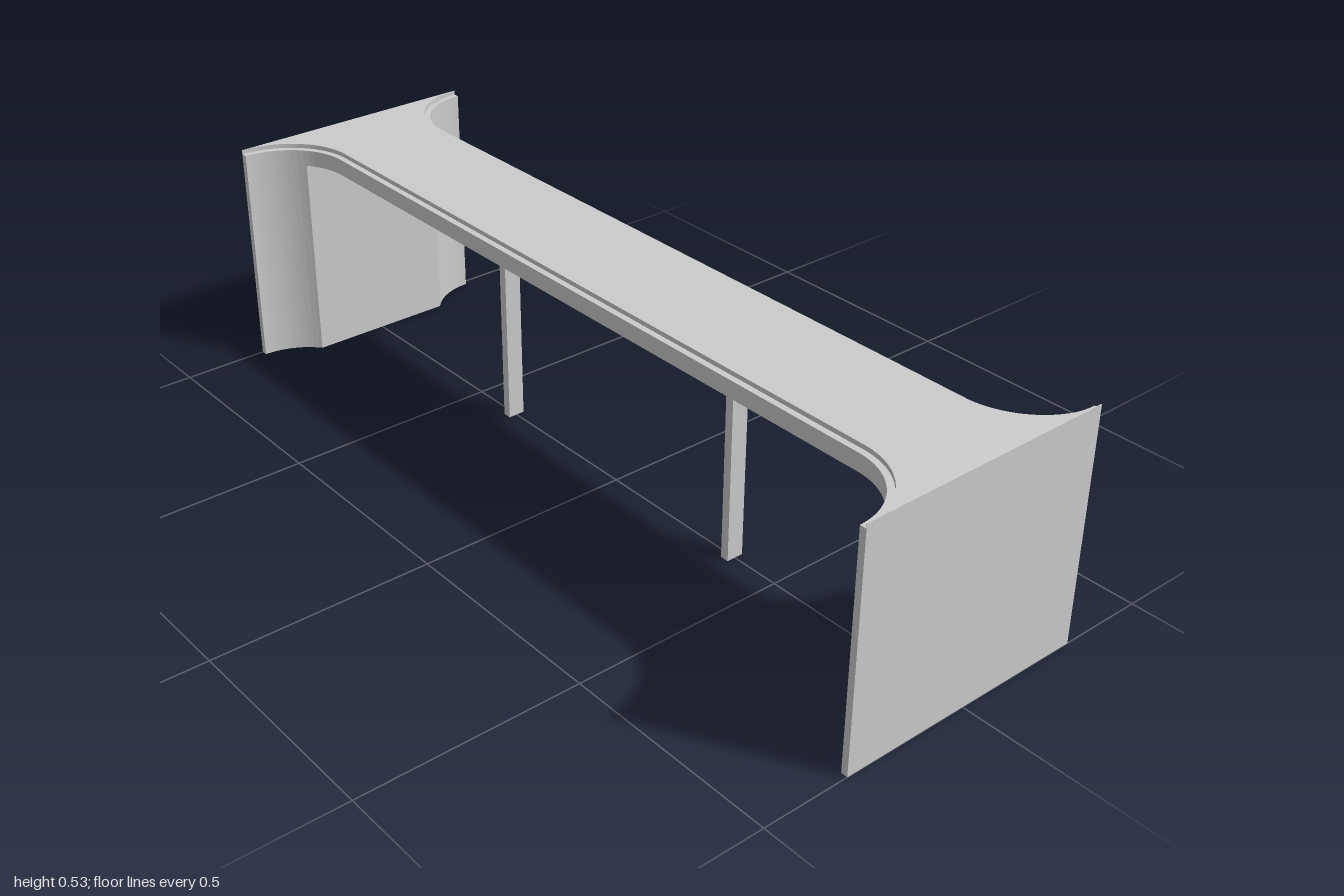
import * as THREE from 'three';
import { toCreasedNormals } from 'three/addons/utils/BufferGeometryUtils.js';

const HALF_Z = 0.3;     // half depth of the end panels
const ARC_X = 0.827;    // centre of the corner sweeps
const RADIUS = 0.158;   // sweep radius of the body
const STEP = 0.014;     // inset of the raised top
const LEG_X = 0.925;    // inner face of the end panels
const BEAM_Y = 0.485, STEP_Y = 0.523, TOP_Y = 0.533;

const material = new THREE.MeshStandardMaterial({ color: 0xcccccc });

// Plan outline of the top: a straight beam flaring out at both ends
function topOutline(r) {
  const s = new THREE.Shape(), q = Math.PI / 2;
  s.moveTo(1, -HALF_Z);
  s.lineTo(1, HALF_Z);
  s.absarc(ARC_X, HALF_Z, r, 0, -q, true);
  s.absarc(-ARC_X, HALF_Z, r, -q, -2 * q, true);
  s.lineTo(-1, HALF_Z);
  s.lineTo(-1, -HALF_Z);
  s.absarc(-ARC_X, -HALF_Z, r, 2 * q, q, true);
  s.absarc(ARC_X, -HALF_Z, r, q, 0, true);
  return s;
}

// Plan outline of an end panel, cut off flat on its inner face
function legOutline() {
  const s = new THREE.Shape(), a = Math.acos((LEG_X - ARC_X) / RADIUS);
  s.moveTo(1, -HALF_Z);
  s.lineTo(1, HALF_Z);
  s.absarc(ARC_X, HALF_Z, RADIUS, 0, -a, true);
  s.absarc(ARC_X, -HALF_Z, RADIUS, a, 0, true);
  return s;
}

// Extrude a plan outline upwards from y0 to y1
function slab(name, shape, y0, y1) {
  const geo = new THREE.ExtrudeGeometry(shape, { depth: y1 - y0, bevelEnabled: false, curveSegments: 24 });
  geo.rotateX(-Math.PI / 2).translate(0, y0, 0);
  const mesh = new THREE.Mesh(toCreasedNormals(geo, 0.5), material);
  mesh.name = name;
  return mesh;
}

export function createModel() {
  const model = new THREE.Group();
  model.name = 'table';

  // Top: body and the slightly inset raised surface
  model.add(slab('topBody', topOutline(RADIUS), BEAM_Y, STEP_Y));
  model.add(slab('raisedTop', topOutline(RADIUS + STEP), STEP_Y, TOP_Y));

  for (const side of [1, -1]) {
    const label = side > 0 ? 'left' : 'right';

    // Flared end panel
    const leg = slab(label + 'EndPanel', legOutline(), 0, BEAM_Y);
    if (side < 0) leg.rotation.y = Math.PI;
    model.add(leg);

    // Slim middle post
    const post = new THREE.Mesh(new THREE.BoxGeometry(0.02, BEAM_Y, 0.04), material);
    post.name = label + 'Post';
    post.position.set(side * 0.373, BEAM_Y / 2, 0);
    model.add(post);
  }
  return model;
}
